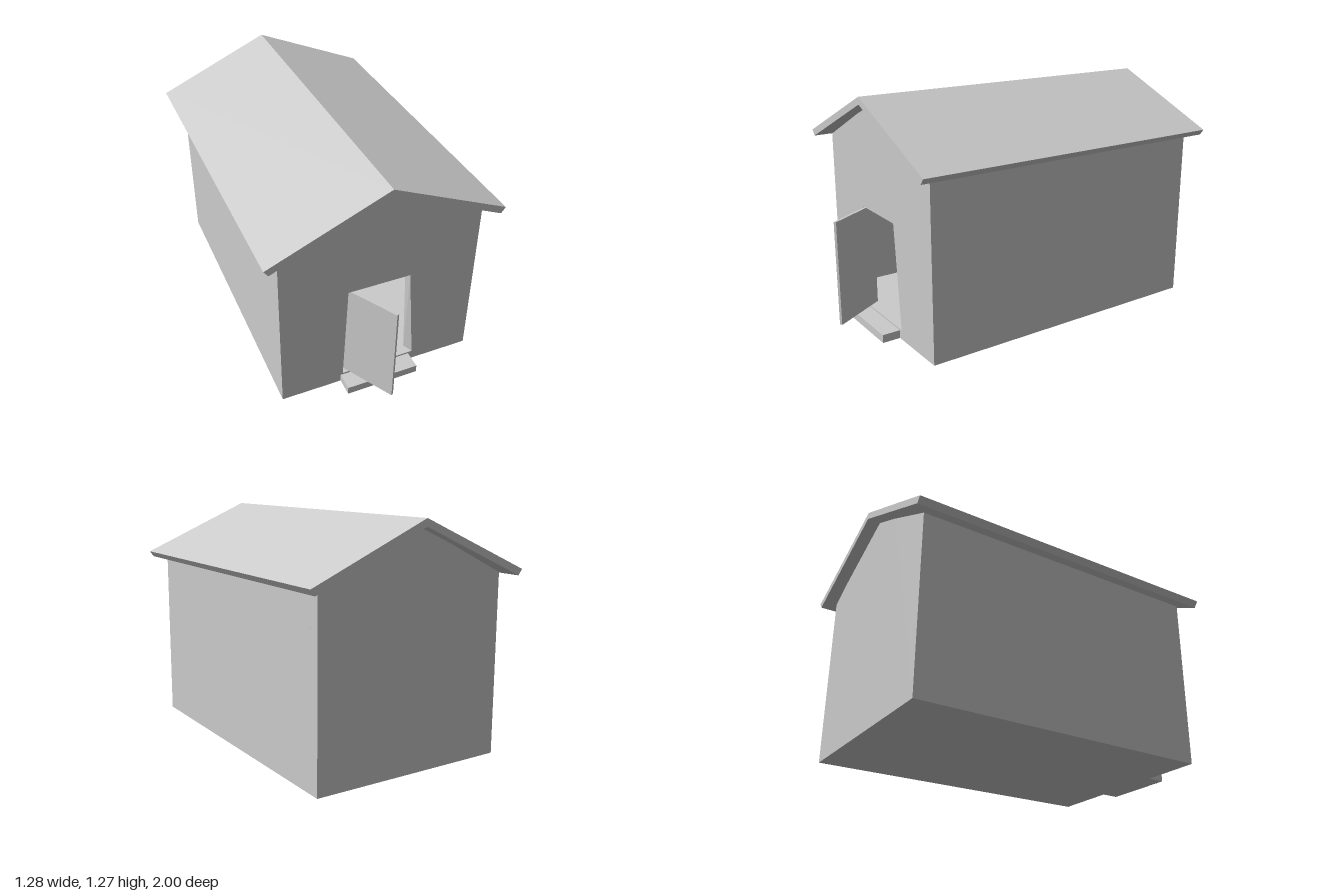
import * as THREE from 'three';

const material = new THREE.MeshStandardMaterial({ color: 0xcccccc, flatShading: true });

const points = (list) => list.map(([x, y]) => new THREE.Vector2(x, y));

// Extrudes an outline (with an optional hole) between two z positions.
function slab(outline, z0, z1, hole) {
  const shape = new THREE.Shape(points(outline));
  if (hole) shape.holes.push(new THREE.Path(points(hole)));
  const geometry = new THREE.ExtrudeGeometry(shape, { depth: z1 - z0, bevelEnabled: false });
  return geometry.translate(0, 0, z0);
}

export function createModel() {
  const group = new THREE.Group();
  const add = (name, geometry) => {
    const mesh = new THREE.Mesh(geometry, material);
    mesh.name = name;
    group.add(mesh);
    return mesh;
  };

  const front = 0.76, back = -0.93, wall = 0.055;
  const gable = [[-0.55, 0], [0.56, 0], [0.56, 0.975], [0.45, 1.034],
    [0, 1.232], [-0.2, 1.144], [-0.55, 0.975]];
  const room = [[-0.495, wall], [0.505, wall], [0.505, 0.95], [0, 1.18], [-0.495, 0.95]];

  // Hollow body: side walls with floor and ceiling, then the two gable walls
  add('sideWallsAndFloor', slab(gable, back + wall, front - wall, room));
  add('backWall', slab(gable, back, back + wall));

  // Front wall with a doorway that flares at the foot
  const doorway = [[-0.2, wall], [0.222, wall], [0.172, 0.635], [-0.178, 0.635]];
  const frontWall = slab(gable, front - wall, front, doorway);
  const pos = frontWall.attributes.position;
  for (let i = 0; i < pos.count; i++) {
    // narrow the foot of the doorway on the inner face
    if (pos.getZ(i) < front - 0.01 && Math.abs(pos.getY(i) - wall) < 0.001) {
      pos.setX(i, pos.getX(i) > 0 ? 0.198 : -0.183);
    }
  }
  frontWall.computeVertexNormals();
  add('frontWall', frontWall);

  // Pitched roof overhanging on all sides
  add('roof', slab([[-0.618, 0.96], [0, 1.232], [0.618, 0.96],
    [0.642, 0.992], [0, 1.272], [-0.642, 0.992]], -1, 0.84));

  // Doorstep
  add('doorstep', new THREE.BoxGeometry(0.412, 0.045, 0.1).translate(-0.006, 0.0225, 0.81));

  // Door standing open, pivoting on its hinge edge
  const door = add('door', new THREE.BoxGeometry(0.34, 0.58, 0.015).translate(0.17, 0.345, 0));
  door.position.set(-0.1885, 0, 0.702);
  door.rotation.y = -Math.PI / 3;

  return group;
}
